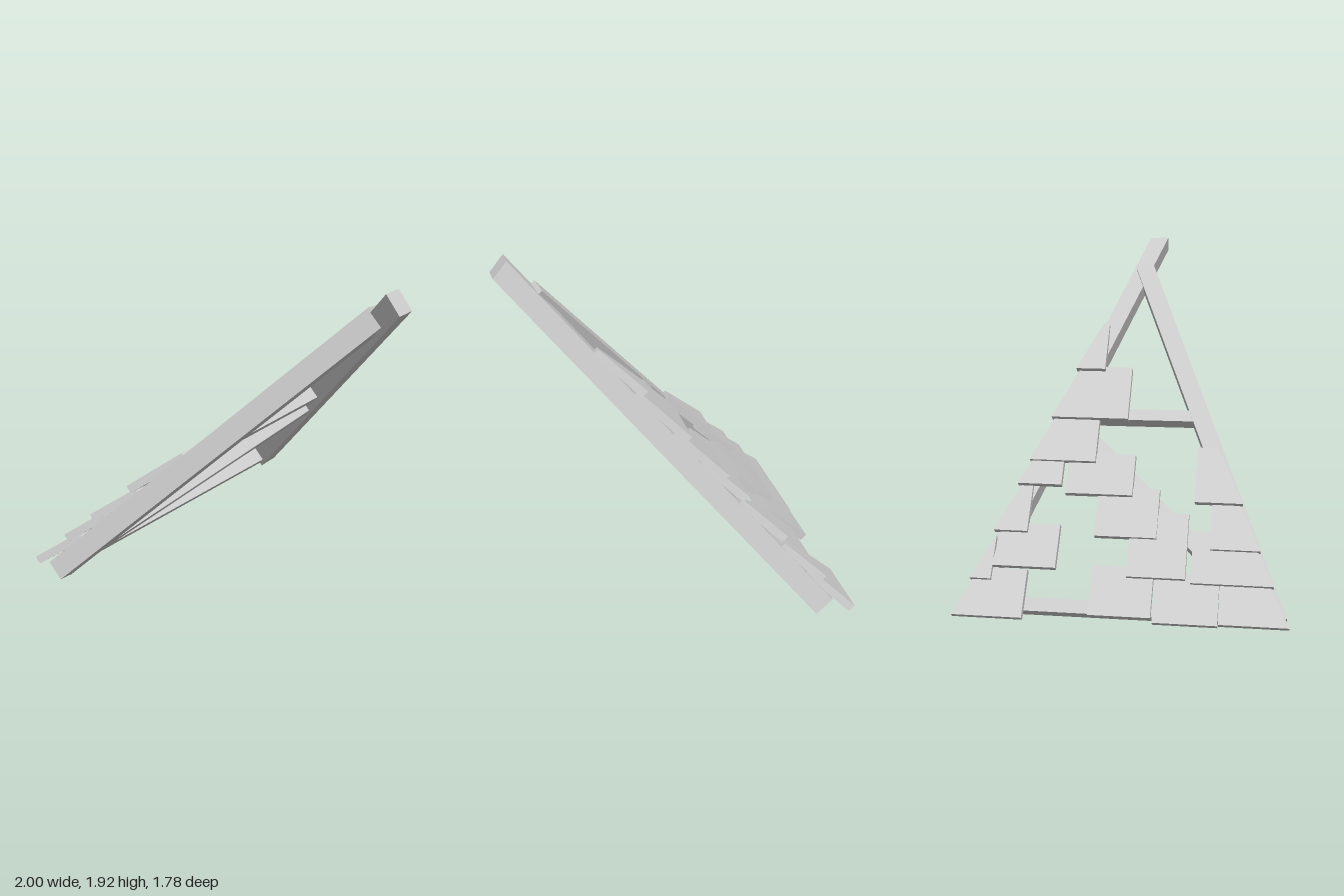
import * as THREE from 'three';

const V = (x, y, z) => new THREE.Vector3(x, y, z);

// Roof plane frame: U along the eave, W up the slope, N outward
const ORIGIN = V(0, 0.07, -0.75);
const U = V(-0.494, 0.017, 0.869).normalize();
const N0 = V(-0.648, 0.659, -0.381);
const W = N0.clone().cross(U).normalize();
const N = U.clone().cross(W);

// Point at height h above the roof plane; b is kept true in plan
const onRoof = (a, b, h) => ORIGIN.clone()
  .addScaledVector(U, a).addScaledVector(W, b + 1.14 * h).addScaledVector(N, h);

export function createModel() {
  const group = new THREE.Group();
  const grey = new THREE.MeshStandardMaterial({ color: 0xcccccc });
  grey.name = 'grey';

  // Square timber from p to q, turned to lie flat in the roof plane
  function beam(name, p, q, width, depth, skewY = 0, skewZ = 0) {
    const dir = q.clone().sub(p);
    const length = dir.length();
    dir.normalize();
    const up = N.clone().addScaledVector(dir, -N.dot(dir)).normalize();
    const geo = new THREE.BoxGeometry(length, width, depth);
    const pos = geo.attributes.position;
    // Slanted cut at the far end
    for (let i = 0; i < pos.count; i++) {
      if (pos.getX(i) > 0) {
        pos.setX(i, pos.getX(i) + skewY * pos.getY(i) + skewZ * pos.getZ(i));
      }
    }
    geo.applyMatrix4(new THREE.Matrix4()
      .makeBasis(dir, up.clone().cross(dir), up)
      .setPosition(p.clone().add(q).multiplyScalar(0.5)));
    geo.computeVertexNormals();
    const mesh = new THREE.Mesh(geo, grey);
    mesh.name = name;
    group.add(mesh);
  }

  beam('hipRafter', V(0.01, 0.052, -0.74), V(0.94, 1.87, 0.82), 0.1, 0.12, -0.49, 0.16);
  beam('frontRafter', V(-0.85, 0.07, 0.765), V(0.84, 1.733, 0.68), 0.107, 0.115);
  beam('eaveBeam', V(-0.83, 0.102, 0.735), V(0.01, 0.068, -0.73), 0.078, 0.09);
  beam('crossBrace', V(0.08, 0.982, 0.7), V(0.43, 0.968, 0.07), 0.07, 0.1);
  beam('diagonalBrace', V(-0.8, 0.1, 0.7), V(0.4, 0.895, 0.08), 0.08, 0.1);

  // Shingles: extent along the eave (a0, a1) and up the slope (b0, b1)
  const shingles = [
    // eave course
    [-1, 0.32, -0.207, 0.13], [0.69, 1.04, -0.17, 0.17],
    [1.05, 1.41, -0.195, 0.15], [1.415, 2, -0.187, 0.15],
    // second course
    [-1, 0.12, 0.01, 0.32], [0.12, 0.484, 0.09, 0.404],
    [0.89, 1.22, 0.06, 0.5], [1.25, 2, 0.04, 0.4],
    // third course
    [-1, 0.302, 0.3, 0.637], [0.69, 1.045, 0.29, 0.642], [1.35, 2, 0.24, 0.58],
    // fourth course
    [-1, 0.473, 0.59, 0.92], [0.5, 0.89, 0.54, 0.85], [1.25, 2, 0.515, 0.91],
    // courses up to the peak
    [-1, 0.66, 0.74, 1.125], [-1, 0.83, 1.015, 1.41], [-1, 0.67, 1.335, 1.7],
  ];
  const thick = 0.045;
  const hipEdge = b => 0.375 * b - 0.005;
  const frontEdge = b => 1.726 - 0.396 * b;

  shingles.forEach(([a0, a1, b0, b1], i) => {
    const corners = [];
    for (const [b, top] of [[b0, 0.104], [b1, 0.065]]) {
      const hi = Math.min(a1, frontEdge(b));
      const lo = Math.max(a0, hipEdge(b));
      for (const h of [top - thick, top]) {
        // Lower face sits straight below the upper one
        const drop = 1.14 * (top - h);
        corners.push(onRoof(lo, b + drop, h), onRoof(hi, b + drop, h));
      }
    }
    // corner index bits: 1 = far along eave, 2 = top, 4 = upslope
    const faces = [[2, 3, 7, 6], [0, 4, 5, 1], [0, 1, 3, 2], [4, 6, 7, 5], [0, 2, 6, 4], [1, 5, 7, 3]];
    const points = faces.flatMap(([a, b, c, d]) => [a, b, c, a, c, d].map(k => corners[k]));
    const geo = new THREE.BufferGeometry().setFromPoints(points);
    geo.computeVertexNormals();
    const mesh = new THREE.Mesh(geo, grey);
    mesh.name = 'shingle' + (i + 1);
    group.add(mesh);
  });

  return group;
}
